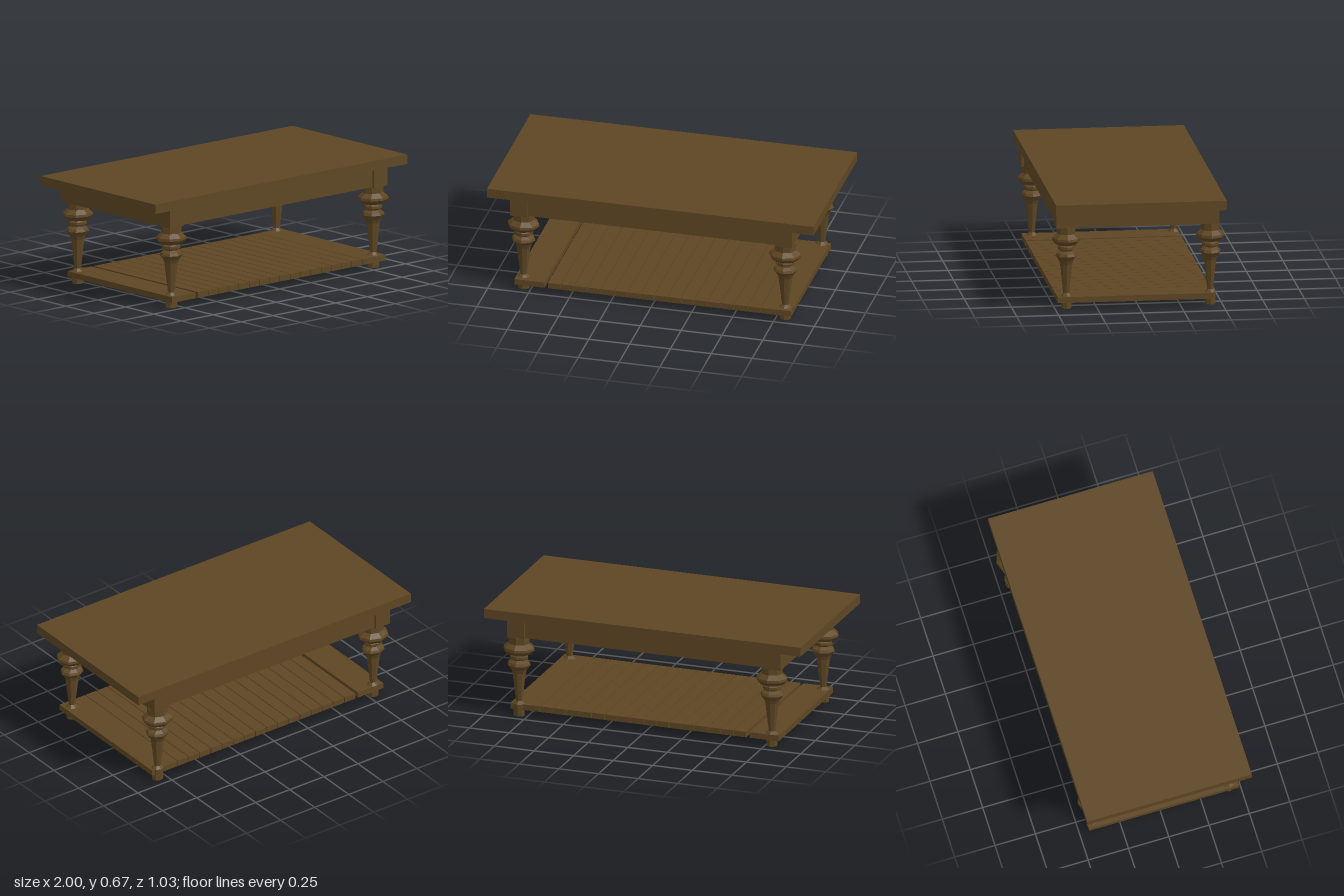
import * as THREE from 'three';

const wood = new THREE.MeshStandardMaterial({ color: 0x5e4623, roughness: 0.9, flatShading: true });

// Box given by its lower and upper bounds on each axis
function board(name, x0, x1, y0, y1, z0, z1) {
  const mesh = new THREE.Mesh(new THREE.BoxGeometry(x1 - x0, y1 - y0, z1 - z0), wood);
  mesh.position.set((x0 + x1) / 2, (y0 + y1) / 2, (z0 + z1) / 2);
  mesh.name = name;
  return mesh;
}

// Turned leg profile: radius, height
const legProfile = [
  [0, 0], [0.031, 0], [0.031, 0.072], [0.034, 0.075], [0.018, 0.092],
  [0.037, 0.27], [0.045, 0.292], [0.064, 0.32], [0.058, 0.335], [0.037, 0.35],
  [0.05, 0.36], [0.05, 0.376], [0.04, 0.384], [0.065, 0.39], [0.085, 0.415],
  [0.083, 0.43], [0.06, 0.452], [0.057, 0.455], [0.057, 0.5], [0, 0.5],
].map(([r, y]) => new THREE.Vector2(r, y));

export function createModel() {
  const table = new THREE.Group();
  table.name = 'coffeeTable';

  table.add(board('tableTop', -1, 1, 0.61, 0.667, -0.505, 0.515));

  // Apron: wide side rails running front to back, thinner rails between them
  table.add(board('leftSideRail', 0.755, 0.862, 0.497, 0.611, -0.48, 0.495));
  table.add(board('rightSideRail', -0.865, -0.76, 0.497, 0.611, -0.48, 0.495));
  table.add(board('frontRail', -0.76, 0.756, 0.5, 0.603, 0.42, 0.48));
  table.add(board('backRail', -0.76, 0.756, 0.5, 0.603, -0.465, -0.405));

  // Turned legs, slightly wider along x
  const legGeometry = new THREE.LatheGeometry(legProfile, 8);
  const legs = [
    ['frontLeftLeg', 0.805, 0.43], ['backLeftLeg', 0.805, -0.43],
    ['frontRightLeg', -0.798, 0.43], ['backRightLeg', -0.787, -0.415],
  ];
  for (const [name, x, z] of legs) {
    const leg = new THREE.Mesh(legGeometry, wood);
    leg.name = name;
    leg.position.set(x, 0, z);
    leg.scale.x = 1.15;
    table.add(leg);
  }

  // Lower shelf: a wide board at each end with narrow slats between
  const shelf = new THREE.Group();
  shelf.name = 'shelf';
  const z0 = -0.445, z1 = 0.486, y0 = 0.04, y1 = 0.075;
  shelf.add(board('rightEndBoard', -0.84, -0.655, y0, y1, z0, z1));
  shelf.add(board('leftEndBoard', 0.67, 0.855, y0, y1, z0, z1));
  const count = 16, start = -0.635, pitch = (0.67 - start) / count;
  for (let i = 0; i < count; i++) {
    const x = start + i * pitch;
    shelf.add(board('slat', x, x + pitch - 0.004, y0, y1, z0, z1));
  }
  table.add(shelf);

  return table;
}
